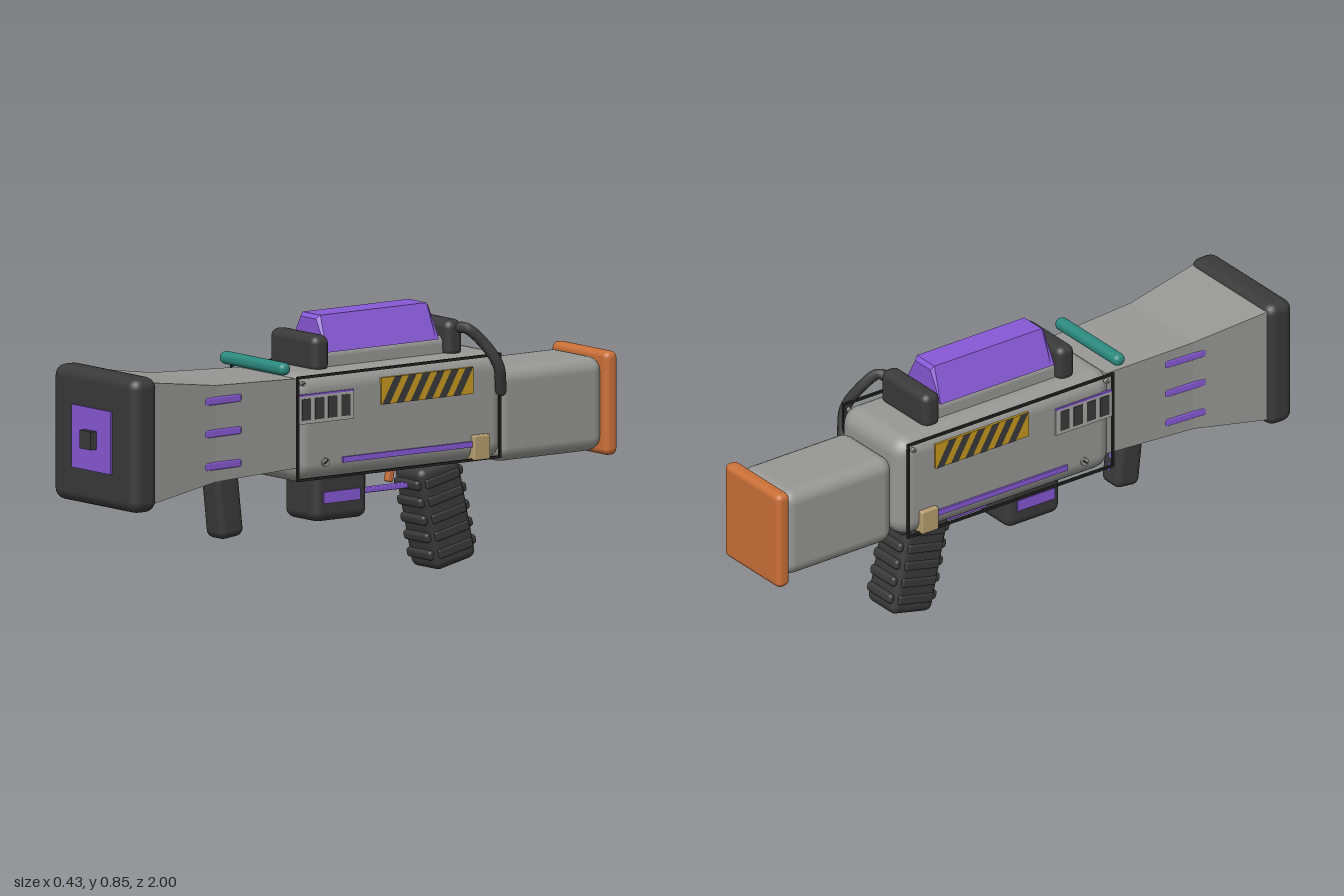
import * as THREE from 'three';
import { RoundedBoxGeometry } from 'three/addons/geometries/RoundedBoxGeometry.js';

const mat = (name, color, extra = {}) => Object.assign(new THREE.MeshStandardMaterial({ color, ...extra }), { name });

export function createModel() {
  const grey = mat('shell grey', 0x979795);
  const pale = mat('vent grey', 0xa8a8a6);
  const dark = mat('rubber dark', 0x3a3a3a);
  const black = mat('trim black', 0x232323);
  const purple = mat('energy purple', 0x8759d6);
  const orange = mat('pad orange', 0xcb7038);
  const teal = mat('sight teal', 0x2b8a7e);
  const yellow = mat('hazard yellow', 0xc8981f);
  const tan = mat('clip tan', 0xb79f70);

  const model = new THREE.Group();
  model.name = 'blaster';

  const add = (name, geo, material, x = 0, y = 0, z = 0, parent = model) => {
    const mesh = new THREE.Mesh(geo, material);
    mesh.name = name;
    mesh.position.set(x, y, z);
    parent.add(mesh);
    return mesh;
  };
  // Boxes given as centre and size; r > 0 rounds the edges
  const box = (name, material, [x, y, z], [w, h, d], r = 0, parent = model) =>
    add(name, r ? new RoundedBoxGeometry(w, h, d, 3, r) : new THREE.BoxGeometry(w, h, d), material, x, y, z, parent);

  // Skin a row of cross-section rings with flat faces, running from +z to -z
  const loft = (rings) => {
    const pos = [], n = rings[0].length;
    const tri = (a, b, c) => pos.push(...a, ...b, ...c);
    for (let i = 0; i < rings.length - 1; i++) {
      for (let k = 0; k < n; k++) {
        const a = rings[i][k], b = rings[i][(k + 1) % n];
        const c = rings[i + 1][(k + 1) % n], d = rings[i + 1][k];
        tri(a, d, c);
        tri(a, c, b);
      }
    }
    const first = rings[0], last = rings[rings.length - 1];
    for (let k = 1; k < n - 1; k++) {
      tri(first[0], first[k], first[k + 1]);
      tri(last[0], last[k + 1], last[k]);
    }
    const geo = new THREE.BufferGeometry();
    geo.setAttribute('position', new THREE.Float32BufferAttribute(pos, 3));
    geo.computeVertexNormals();
    return geo;
  };

  // Muzzle
  box('muzzleBlock', dark, [0, 0.54, 0.92], [0.43, 0.43, 0.1], 0.036);
  box('muzzlePlate', purple, [0, 0.54, 0.971], [0.2, 0.2, 0.012]);
  box('muzzleStub', dark, [0, 0.54, 0.985], [0.058, 0.058, 0.03]);

  // Flared barrel: z, half width, bottom, top
  const sections = [[0.88, 0.197, 0.35, 0.735], [0.61, 0.165, 0.39, 0.697], [0.28, 0.15, 0.4, 0.685]];
  add('barrel', loft(sections.map(([z, w, b, t]) => [[-w, b, z], [w, b, z], [w, t, z], [-w, t, z]])), grey);

  // Body, stock and butt pad
  box('body', grey, [0, 0.525, -0.12], [0.334, 0.35, 0.84], 0.06);
  box('stock', grey, [0, 0.484, -0.745], [0.258, 0.3, 0.43], 0.045);
  box('buttPad', orange, [0, 0.485, -0.975], [0.29, 0.33, 0.05], 0.02);

  // Top rail with its end mounts and energy cell
  box('topRail', grey, [0, 0.715, -0.11], [0.19, 0.08, 0.5], 0.025);
  for (const z of [0.152, -0.375]) box('cellMount', dark, [0, 0.745, z], [0.24, 0.12, 0.066], 0.026);
  const cellRing = (z, top, half) => [[-0.095, 0.745, z], [0.095, 0.745, z], [half + 0.005, top, z], [-half - 0.005, top, z]];
  add('energyCell', loft([
    cellRing(0.117, 0.845, 0.035), cellRing(0.105, 0.857, 0.041),
    cellRing(-0.315, 0.857, 0.041), cellRing(-0.327, 0.845, 0.035),
  ]), purple);
  box('sightBar', teal, [0, 0.72, 0.328], [0.33, 0.04, 0.042], 0.018);

  // Hose from the rear mount down the side
  const hosePath = new THREE.CatmullRomCurve3([
    [0.1, 0.775, -0.385], [0.135, 0.78, -0.4], [0.165, 0.735, -0.445], [0.195, 0.66, -0.485], [0.178, 0.575, -0.508],
  ].map((p) => new THREE.Vector3(...p)));
  add('hose', new THREE.TubeGeometry(hosePath, 20, 0.018, 8), dark);
  add('hoseEnd', new THREE.SphereGeometry(0.018, 8, 6), dark, 0.178, 0.575, -0.508);

  // Side details, repeated on both flanks
  for (const s of [1, -1]) {
    const flank = new THREE.Group();
    flank.name = s > 0 ? 'leftFlank' : 'rightFlank';
    model.add(flank);
    const plate = (name, material, z, y, d, h, x = 0.168, t = 0.008) =>
      box(name, material, [s * x, y, z], [t, h, d], 0, flank);

    // Thin frame around the panel
    for (const y of [0.364, 0.69]) plate('frameRail', black, -0.11, y, 0.8, 0.008, 0.17);
    for (const z of [0.29, -0.51]) plate('framePost', black, z, 0.527, 0.008, 0.334, 0.17);

    // Vent
    plate('ventPlate', pale, 0.18, 0.585, 0.225, 0.088);
    plate('ventTrim', purple, 0.18, 0.632, 0.225, 0.006);
    for (let i = 0; i < 4; i++) plate('ventSlit', dark, 0.257 - i * 0.052, 0.587, 0.035, 0.068, 0.17);

    // Hazard panel with slanted stripes
    plate('hazardPanel', yellow, -0.222, 0.617, 0.365, 0.085);
    for (let i = 0; i < 6; i++) {
      const u = -0.18 + i * 0.056, h = 0.0425;
      const stripe = new THREE.Shape([[u, -h], [u + 0.03, -h], [u + 0.08, h], [u + 0.05, h]]
        .map(([a, b]) => new THREE.Vector2(a, b)));
      const mesh = add('hazardStripe', new THREE.ShapeGeometry(stripe), dark, s * 0.1735, 0.617, -0.222, flank);
      mesh.rotation.y = s * Math.PI / 2;
    }

    // Light strip, screws and clip
    plate('lightStrip', purple, -0.143, 0.414, 0.51, 0.018, 0.17);
    for (const [z, y, r] of [[0.18, 0.413, 0.014], [-0.43, 0.4, 0.014], [0.268, 0.67, 0.008], [-0.488, 0.665, 0.008]]) {
      const screw = add('screw', new THREE.CylinderGeometry(r, r, 0.012, 10), grey, s * 0.168, y, z, flank);
      screw.rotation.z = Math.PI / 2;
      plate('screwSlot', black, z, y, r * 1.5, r * 0.4, 0.172, 0.006).rotation.x = 0.7;
    }
    box('clip', tan, [s * 0.158, 0.402, -0.432], [0.05, 0.08, 0.066], 0.006, flank);

    // Barrel lights and magazine light
    for (const y of [0.648, 0.545, 0.441]) {
      const light = box('barrelLight', purple, [s * 0.16, y, 0.58], [0.014, 0.026, 0.152], 0.006, flank);
      light.rotation.y = s * 0.06;
    }
    plate('magazineLight', purple, 0.052, 0.283, 0.145, 0.037, 0.085, 0.009);
  }

  // Magazine under the body
  box('magazine', dark, [0, 0.29, 0.048], [0.17, 0.17, 0.212], 0.03);

  // Front grip
  const foregrip = new THREE.Group();
  foregrip.name = 'foregrip';
  foregrip.position.set(0, 0.285, 0.457);
  foregrip.rotation.x = 0.11;
  model.add(foregrip);
  box('foregripBody', dark, [0, 0, 0], [0.092, 0.21, 0.096], 0.025, foregrip);
  for (let i = 0; i < 3; i++) box('foregripLight', purple, [0, 0.05 - i * 0.045, -0.047], [0.01, 0.025, 0.006], 0, foregrip);

  // Trigger and guard
  box('guardBar', purple, [0, 0.276, -0.18], [0.03, 0.016, 0.19], 0.004);
  box('guardPost', pale, [0, 0.32, -0.095], [0.03, 0.1, 0.014], 0.004);
  box('trigger', orange, [0, 0.335, -0.207], [0.024, 0.085, 0.024], 0.006).rotation.x = 0.2 * -1;

  // Rear grip with ribs all round
  const grip = new THREE.Group();
  grip.name = 'rearGrip';
  grip.position.set(0, 0.182, -0.384);
  grip.rotation.x = 0.22;
  model.add(grip);
  box('gripBody', dark, [0, 0, 0], [0.146, 0.335, 0.165], 0.026, grip);
  for (let i = 0; i < 5; i++) {
    const y = 0.118 - i * 0.058;
    for (const s of [1, -1]) {
      box('gripRib', dark, [0, y, s * 0.084], [0.125, 0.032, 0.024], 0.011, grip);
      box('gripSideRib', dark, [s * 0.071, y, 0], [0.015, 0.03, 0.135], 0.006, grip);
    }
  }

  return model;
}
